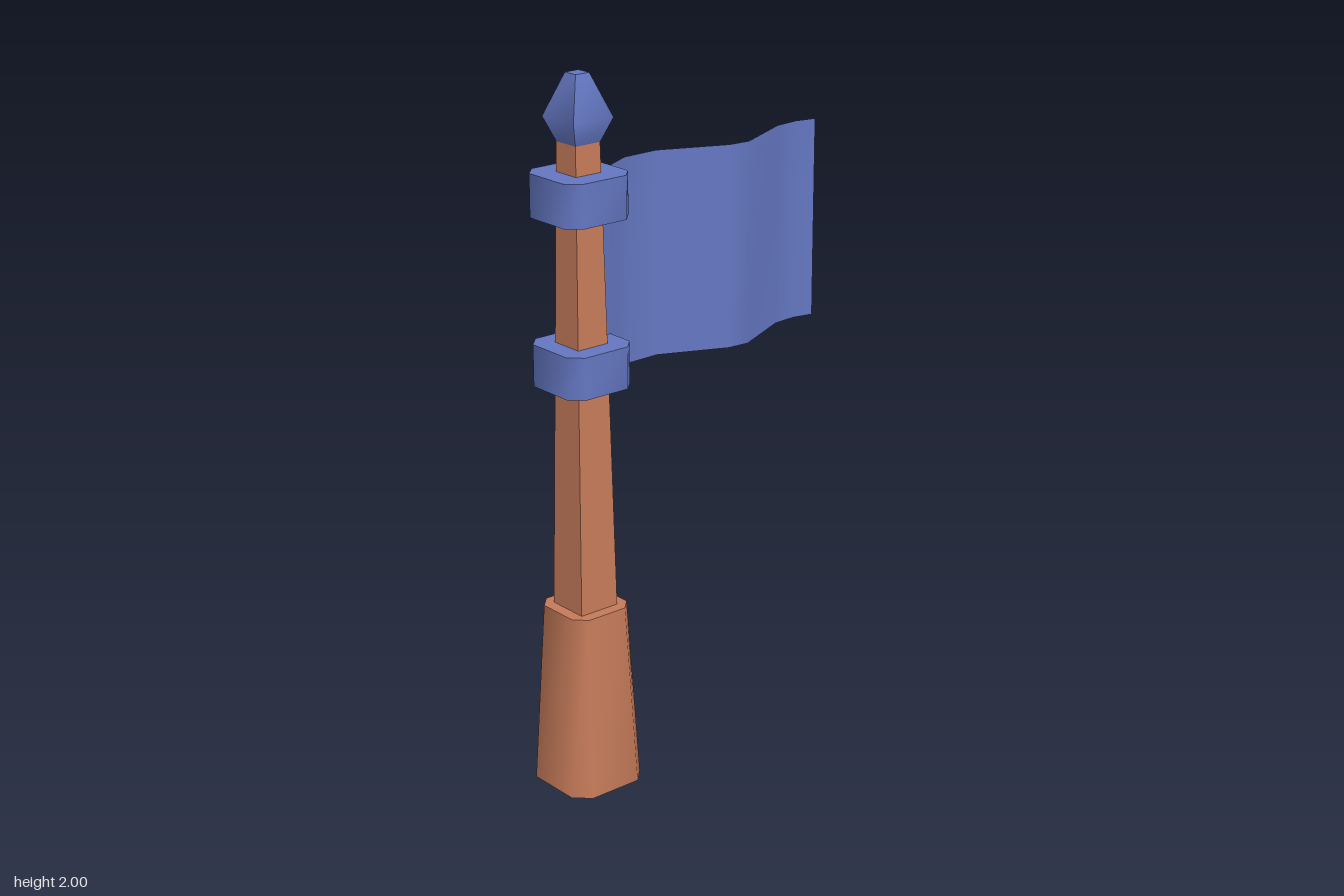
import * as THREE from 'three';
import { toCreasedNormals } from 'three/addons/utils/BufferGeometryUtils.js';

const POLE_Z = 0.377;

// Capped loft through [y, halfWidth, corner] rings; corner < halfWidth chamfers the corners
function loft(rings) {
  const loops = rings.map(([y, h, c = h]) => {
    const pts = c === h
      ? [[h, -h], [h, h], [-h, h], [-h, -h]]
      : [[h, -c], [h, c], [c, h], [-c, h], [-h, c], [-h, -c], [-c, -h], [c, -h]];
    return pts.map(([x, z]) => [x, y, z]);
  });
  const pos = [];
  const tri = (...corners) => corners.forEach((p) => pos.push(...p));
  const n = loops[0].length;
  const last = loops.length - 1;
  const bottom = [0, rings[0][0], 0];
  const top = [0, rings[last][0], 0];
  for (let i = 0; i < n; i++) {
    const j = (i + 1) % n;
    for (let k = 0; k < last; k++) {
      const lo = loops[k], hi = loops[k + 1];
      tri(lo[i], hi[i], lo[j]);
      tri(lo[j], hi[i], hi[j]);
    }
    tri(bottom, loops[0][i], loops[0][j]);
    tri(top, loops[last][j], loops[last][i]);
  }
  const g = new THREE.BufferGeometry();
  g.setAttribute('position', new THREE.Float32BufferAttribute(pos, 3));
  return toCreasedNormals(g, 1.0);
}

// Upright cloth sheet following a wavy [x, z] path
function clothSheet(path, y0, y1) {
  const g = new THREE.PlaneGeometry(1, 1, path.length - 1, 1);
  const p = g.attributes.position;
  for (let i = 0; i < p.count; i++) {
    const [x, z] = path[i % path.length];
    p.setXYZ(i, x, i < path.length ? y1 : y0, z);
  }
  g.computeVertexNormals();
  return g;
}

export function createModel() {
  const model = new THREE.Group();
  model.name = 'flagPole';
  const wood = new THREE.MeshStandardMaterial({ color: 0xc67b5a });
  wood.name = 'brown wood';
  const blue = new THREE.MeshStandardMaterial({ color: 0x6477c2, side: THREE.DoubleSide });
  blue.name = 'blue';

  const add = (name, geometry, material, z = POLE_Z) => {
    const mesh = new THREE.Mesh(geometry, material);
    mesh.name = name;
    mesh.position.z = z;
    model.add(mesh);
  };

  // Tapered post in its chamfered foot
  add('foot', loft([[0, 0.122, 0.08], [0.525, 0.095, 0.062]]), wood);
  add('post', loft([[0.5, 0.062], [1.82, 0.04]]), wood);

  // Spear-shaped tip
  add('finial', loft([[1.82, 0.04], [1.885, 0.065], [2, 0.022]]), blue);

  // Collars that hold the flag
  add('lowerCollar', loft([[1.16, 0.106, 0.071], [1.277, 0.106, 0.071]]), blue);
  add('upperCollar', loft([[1.622, 0.106, 0.071], [1.74, 0.106, 0.071]]), blue);

  // Waving flag trailing to the back
  const wave = [
    [0, 0.305], [-0.015, 0.26], [-0.055, 0.18], [-0.058, 0.07], [0.025, -0.12],
    [0.03, -0.185], [-0.052, -0.365], [-0.058, -0.44], [-0.045, -0.5],
  ];
  add('flag', clothSheet(wave, 1.16, 1.736), blue, 0);

  return model;
}
